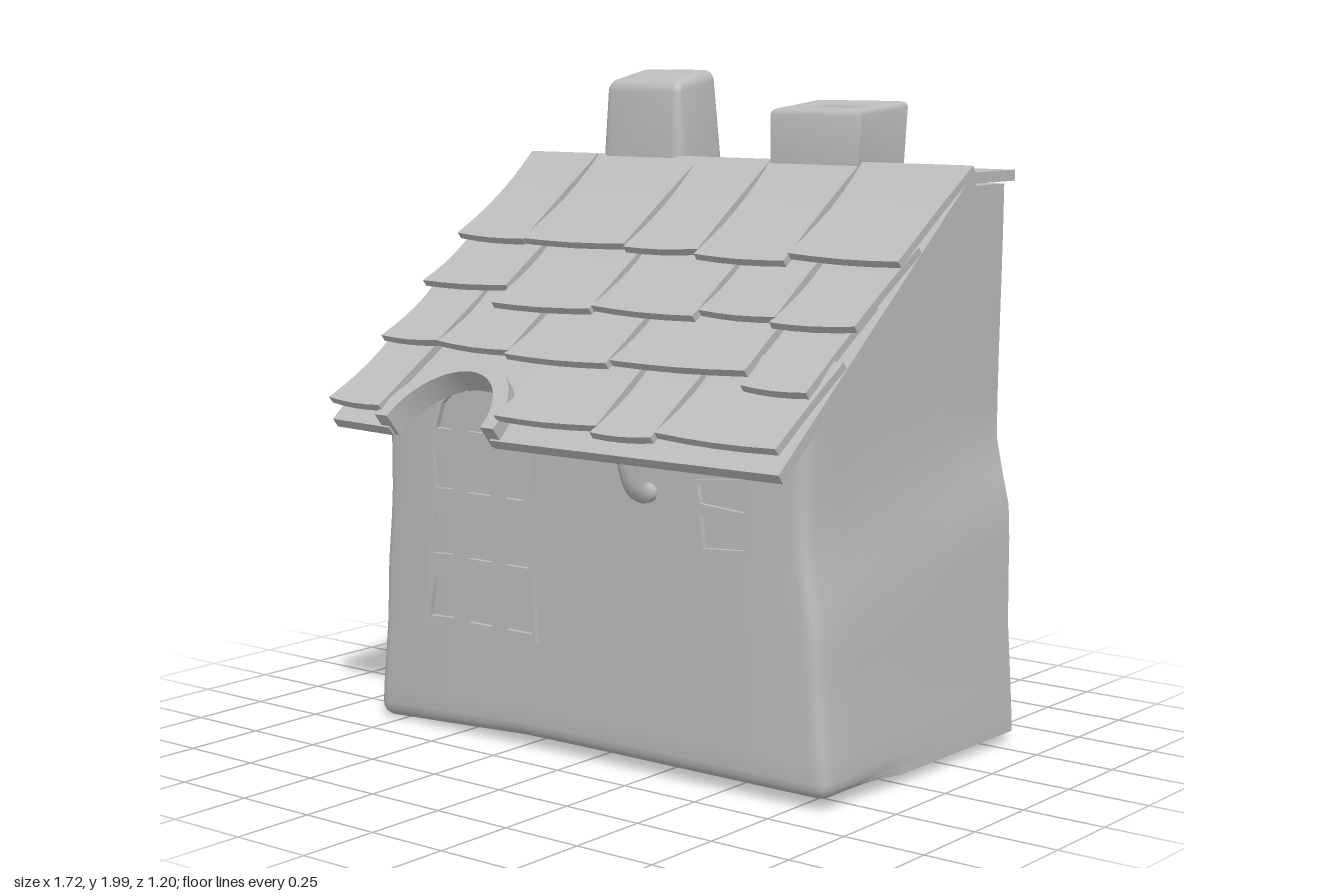
import * as THREE from 'three';
import { toCreasedNormals } from 'three/addons/utils/BufferGeometryUtils.js';
import { RoundedBoxGeometry } from 'three/addons/geometries/RoundedBoxGeometry.js';

const stone = new THREE.MeshStandardMaterial({ color: 0xbbbbbb });
stone.name = 'pale grey';

const { clamp, lerp, smoothstep } = THREE.MathUtils;

// Move every vertex by a rule, then rebuild normals with sharp edges kept
function warp(geo, rule, crease = 0.6) {
  const p = geo.attributes.position, v = new THREE.Vector3();
  for (let i = 0; i < p.count; i++) {
    v.fromBufferAttribute(p, i);
    rule(v);
    p.setXYZ(i, v.x, v.y, v.z);
  }
  geo.computeVertexNormals();
  return toCreasedNormals(geo, crease);
}

function add(parent, name, geo) {
  const m = new THREE.Mesh(geo, stone);
  m.name = name;
  parent.add(m);
  return m;
}

// Smooth interpolation through [position, value] pairs
function profile(pts, y) {
  for (let i = 1; i < pts.length; i++) {
    const [a, va] = pts[i - 1], [b, vb] = pts[i];
    if (y <= b) return lerp(va, vb, smoothstep(y, a, b));
  }
  return pts[pts.length - 1][1];
}

// Roof plane: q runs down the slope (as z), h is height above the surface
const roofY = (z) => 1.71 - 0.8 * (z + 0.37);
const onRoof = (v) => {
  const q = v.z, h = v.y;
  v.y = roofY(q) + h * 0.78;
  v.z = q + h * 0.62;
};

// Extruded shape lying on the roof; shape y is minus q
function roofExtrude(shape, h0, h1) {
  const g = new THREE.ExtrudeGeometry(shape, { depth: h1 - h0, bevelEnabled: false, curveSegments: 20 });
  g.rotateX(-Math.PI / 2).translate(0, h0, 0);
  return warp(g, onRoof);
}

function polygon(pts, Type = THREE.Shape) {
  return new Type(pts.map(([x, y]) => new THREE.Vector2(x, y)));
}

// Crooked walls: a gridded box with bulging sides and softened front edges
function walls() {
  const xs = [-1, -0.99, -0.975, -0.95, -0.6, -0.3, 0, 0.3, 0.6, 0.95, 0.975, 0.99, 1];
  const ys = [0, 0.01, 0.024, 0.045, 0.1, 0.2, 0.28, 0.36, 0.42, 0.48, 0.54, 0.6, 0.68, 0.76, 0.84, 0.92, 1];
  const zs = [-0.59, -0.38, -0.2, 0, 0.2, 0.335, 0.355, 0.37, 0.38];
  const sides = {
    leftBack: [[0, 0.85], [0.3, 0.85], [0.62, 0.865], [0.95, 0.79], [1.7, 0.8]],
    leftFront: [[0, 0.845], [0.4, 0.815], [0.75, 0.79], [1.7, 0.79]],
    rightBack: [[0, 0.86], [0.4, 0.84], [0.65, 0.84], [0.93, 0.79], [1.7, 0.8]],
    rightFront: [[0, 0.855], [0.4, 0.825], [0.75, 0.78], [1.7, 0.785]],
  };
  const pick = (list, t) => list[Math.round((t + 0.5) * (list.length - 1))];
  const geo = new THREE.BoxGeometry(1, 1, 1, xs.length - 1, ys.length - 1, zs.length - 1);
  const r = 0.045;
  return warp(geo, (v) => {
    const u = pick(xs, v.x), t = pick(ys, v.y), z = pick(zs, v.z);
    const top = Math.min(1.67, roofY(z) - 0.04);
    const p = new THREE.Vector3(u * 0.85, t * top, z);
    const c = new THREE.Vector3(clamp(p.x, -0.85 + r, 0.85 - r), Math.max(p.y, r), Math.min(z, 0.38 - r));
    const d = p.clone().sub(c);
    if (z > 0 && d.length() > r) p.copy(c).addScaledVector(d.normalize(), r);
    const k = (z + 0.59) / 0.97, s = u < 0 ? 'left' : 'right';
    const w = lerp(profile(sides[s + 'Back'], p.y), profile(sides[s + 'Front'], p.y), k);
    const drop = 0.03 * smoothstep(k, 0.4, 0.9) * smoothstep(-u, 0.2, 1);
    v.set(p.x * w / 0.85, p.y + (0.03 - drop) * (1 - t), p.z);
  });
}

// One flared roof tile
function tile(x0, x1, q0, q1, seed) {
  const geo = new THREE.BoxGeometry(1, 1, 1, 4, 1, 6);
  return warp(geo, (v) => {
    const t = v.z + 0.5, u = v.x + 0.5;
    const skew = 0.008 * Math.sin(seed * 2.3);
    const pinch = 0.012 * Math.sin(t * Math.PI);
    const x = lerp(x0 + pinch, x1 - pinch, u) + skew * (t - 0.5);
    const q = lerp(q0, q1 + 0.008 * Math.sin(seed * 1.7) * (u - 0.5) + 0.006 * Math.sin(u * Math.PI), t);
    v.set(x, 0.004 + 0.036 * t * t + (v.y + 0.5) * 0.024, q);
    onRoof(v);
  });
}

function roof() {
  const g = new THREE.Group();
  g.name = 'roof';
  const cx = -0.385;

  // Slope with a notch over the tall window
  const slope = new THREE.Shape();
  slope.moveTo(-0.825, 0.375);
  slope.lineTo(-0.825, -0.57);
  slope.lineTo(cx - 0.2, -0.575);
  slope.absellipse(cx, -0.575, 0.2, 0.175, Math.PI, 0, true);
  slope.lineTo(0.83, -0.57);
  slope.lineTo(0.83, 0.375);
  add(g, 'roofSlope', roofExtrude(slope, -0.033, 0));

  // Flat ridge board
  const ridge = new THREE.BoxGeometry(1.66, 0.032, 0.225);
  ridge.translate(0.002, 1.695, -0.4825);
  add(g, 'ridgeBoard', ridge);

  // Raised rim round the notch
  const rim = new THREE.Shape();
  rim.moveTo(cx - 0.235, -0.57);
  rim.absellipse(cx, -0.57, 0.235, 0.2, Math.PI, 0, true);
  rim.lineTo(cx + 0.185, -0.57);
  rim.absellipse(cx, -0.57, 0.185, 0.162, 0, Math.PI, false);
  add(g, 'windowHood', roofExtrude(rim, -0.035, 0.045));

  // Tile rows: start q, then [left, right, lower edge z]
  const rows = [
    [-0.37, [[-0.83, -0.55, 0.01], [-0.55, -0.145, 0.01], [-0.145, 0.13, 0.015], [0.13, 0.455, 0.03], [0.455, 0.835, 0.01]]],
    [-0.1, [[-0.82, -0.48, 0.175], [-0.48, -0.1, 0.23], [-0.1, 0.28, 0.22], [0.28, 0.55, 0.205], [0.55, 0.83, 0.22]]],
    [0.08, [[-0.81, -0.575, 0.37], [-0.575, -0.285, 0.375], [-0.285, 0.1, 0.39], [0.1, 0.57, 0.375], [0.59, 0.81, 0.415]]],
    [0.26, [[-0.82, -0.605, 0.585], [-0.165, 0.21, 0.575], [0.21, 0.42, 0.59], [0.42, 0.83, 0.575]]],
  ];
  rows.forEach(([q0, tiles], r) => tiles.forEach(([x0, x1, z1], i) =>
    add(g, 'roofTile', tile(x0, x1, q0, z1 - 0.035, r * 5 + i + 1))));
  return g;
}

// Flat pierced window frame on the front wall
function frame(shape, holes) {
  shape.holes = holes;
  const g = new THREE.ExtrudeGeometry(shape, { depth: 0.03, bevelEnabled: false, curveSegments: 16 });
  return g.translate(0, 0, 0.366);
}

function tallWindow() {
  const s = new THREE.Shape();
  s.moveTo(-0.625, 0.335);
  s.quadraticCurveTo(-0.39, 0.315, -0.17, 0.325);
  s.quadraticCurveTo(-0.195, 0.55, -0.178, 0.9);
  s.absellipse(-0.385, 0.91, 0.2, 0.185, 0, Math.PI, false);
  s.quadraticCurveTo(-0.59, 0.55, -0.625, 0.335);
  const hole = (pts) => polygon(pts, THREE.Path);
  const holes = [];
  for (const [y0, y1, flare] of [[0.355, 0.485, 0.02], [0.55, 0.685, 0.006], [0.75, 0.87, -0.008]]) {
    holes.push(hole([[-0.58 - flare, y0], [-0.5, y0 + 0.005], [-0.5, y1], [-0.58, y1 - 0.01]]));
    holes.push(hole([[-0.44, y0], [-0.345, y0], [-0.35, y1], [-0.44, y1]]));
    holes.push(hole([[-0.29, y0], [-0.205 + flare, y0], [-0.21, y1 - 0.01], [-0.29, y1]]));
  }
  holes.push(hole([[-0.565, 0.935], [-0.5, 0.935], [-0.495, 1.05], [-0.54, 1.01]]));
  holes.push(hole([[-0.435, 0.935], [-0.345, 0.935], [-0.345, 1.07], [-0.39, 1.08], [-0.435, 1.07]]));
  holes.push(hole([[-0.29, 0.935], [-0.21, 0.935], [-0.235, 1.01], [-0.285, 1.05]]));
  return frame(s, holes);
}

function smallWindow() {
  return frame(polygon([[0.435, 0.67], [0.6, 0.685], [0.597, 0.9], [0.41, 0.88]]), [
    polygon([[0.447, 0.69], [0.588, 0.7], [0.588, 0.775], [0.435, 0.785]], THREE.Path),
    polygon([[0.435, 0.815], [0.588, 0.805], [0.587, 0.885], [0.425, 0.868]], THREE.Path),
  ]);
}

// Solid chimney: rounded block, tapered, with a sloping top
function solidChimney() {
  return warp(new RoundedBoxGeometry(0.33, 0.35, 0.24, 4, 0.035), (v) => {
    const t = v.y / 0.35 + 0.5;
    v.x = v.x * (1 - 0.12 * t) - 0.375;
    v.y = 1.63 + t * 0.35 - t * v.z * 0.17;
    v.z = v.z * (1 - 0.18 * t) - 0.46 + 0.01 * t;
  }, 0.7);
}

// Open chimney: rounded square tube with a floor
function openChimney(parent) {
  const w = 0.145, d = 0.105;
  const s = polygon([[-w, -d], [w, -d], [w, d], [-w, d]]);
  s.holes.push(polygon([[-0.1, -0.065], [0.1, -0.065], [0.1, 0.065], [-0.1, 0.065]], THREE.Path));
  const g = new THREE.ExtrudeGeometry(s, { depth: 0.22, bevelSize: 0.018, bevelThickness: 0.018, bevelSegments: 3 });
  g.rotateX(-Math.PI / 2);
  add(parent, 'openChimney', warp(g, (v) => {
    const t = clamp(v.y / 0.24, 0, 1);
    v.set(v.x * (0.96 + 0.06 * t) + 0.295, v.y + 1.657 - t * v.z * 0.1, v.z - 0.457 - 0.012 * t);
  }, 0.7));
  const floor = new THREE.BoxGeometry(0.22, 0.02, 0.15);
  add(parent, 'chimneyFloor', floor.translate(0.295, 1.8, -0.465));
}

export function createModel() {
  const house = new THREE.Group();
  house.name = 'cottage';
  add(house, 'walls', walls());
  house.add(roof());
  add(house, 'tallWindow', tallWindow());
  add(house, 'smallWindow', smallWindow());
  add(house, 'solidChimney', solidChimney());
  openChimney(house);

  // Curved bracket under the eave
  const path = new THREE.CatmullRomCurve3([[1.0, 0.485], [0.92, 0.48], [0.85, 0.45], [0.825, 0.41], [0.825, 0.36]]
    .map(([y, z]) => new THREE.Vector3(0.245, y, z)));
  add(house, 'eaveBracket', new THREE.TubeGeometry(path, 20, 0.028, 12));
  return house;
}
